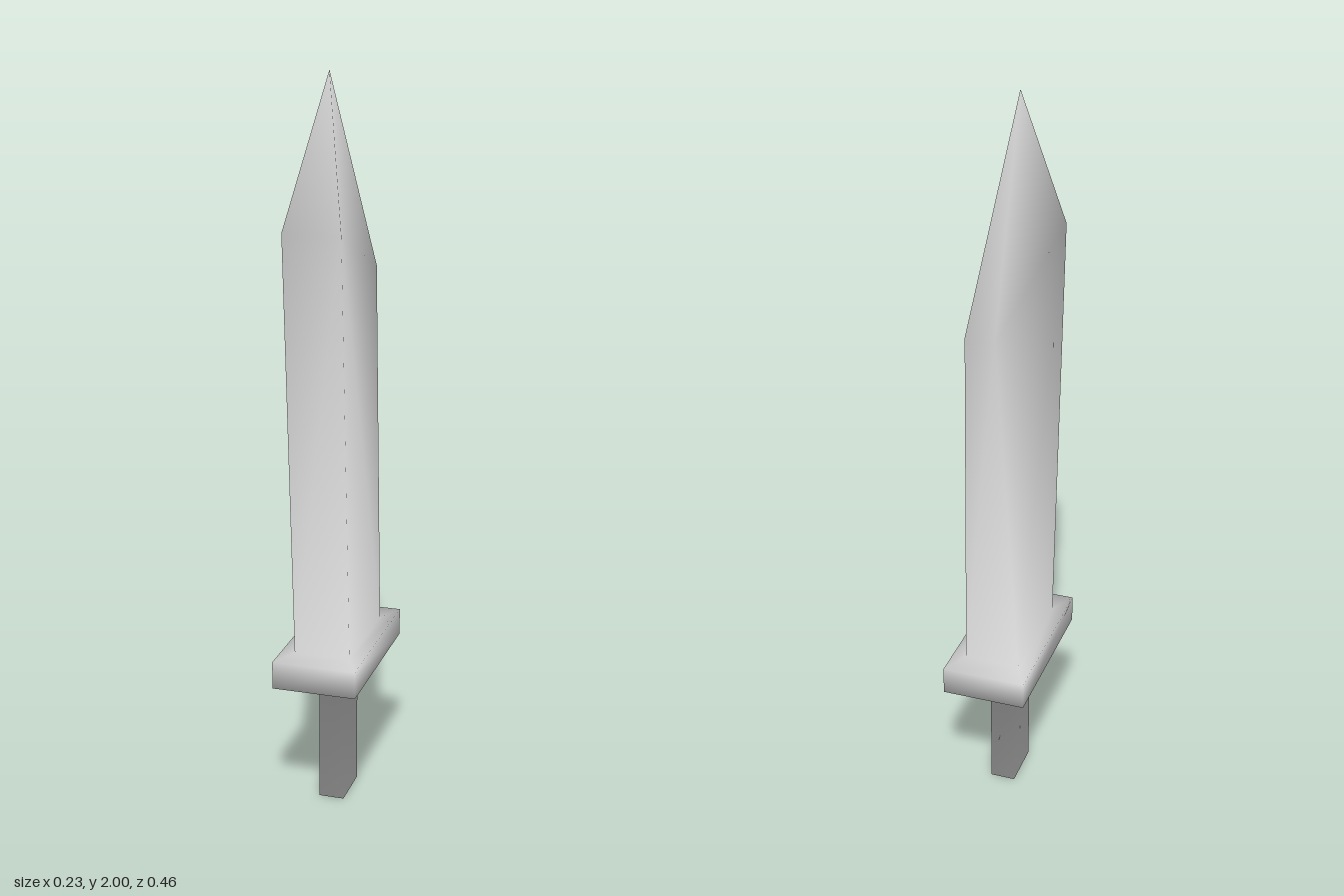
import * as THREE from 'three';

// Mirrored ring: front edge and back edge, each [half width, y, z]
// Corner order: +x front, +x back, -x back, -x front
function ring([fx, fy, fz], [bx, by, bz]) {
  return [[fx, fy, fz], [bx, by, bz], [-bx, by, bz], [-fx, fy, fz]];
}

const level = (x, y, z) => ring([x, y, z], [x, y, -z]);

// One continuous skin: grip, step out to the crossguard, step in to the blade, point
const RINGS = [
  level(0.035, 0, 0.068),
  level(0.035, 0.39, 0.068),
  level(0.115, 0.39, 0.23),
  level(0.115, 0.466, 0.23),
  level(0.077, 0.466, 0.153),
  ring([0.077, 1.615, 0.23], [0.039, 1.463, -0.23]),
];
const TIP = [0, 2, 0.077];
const POINTS = [...RINGS.flat(), TIP].map((p) => new THREE.Vector3(...p));

// Faces between ring r and the next; quads start so that their split is mirrored in x
function band(r) {
  return [0, 1, 2, 3].map((i) => {
    const a = r * 4 + i, b = r * 4 + (i + 1) % 4;
    if (r === RINGS.length - 1) return [a, b, POINTS.length - 1];
    return i === 0 ? [b, b + 4, a + 4, a] : [a, b, b + 4, a + 4];
  });
}

const PARTS = {
  grip: [[3, 2, 1, 0], ...band(0)],
  crossguard: [...band(1), ...band(2), ...band(3)],
  blade: [...band(4), ...band(5)],
};

// Smooth normals shared by the whole skin, weighted by the angle of each corner
function smoothNormals(faces) {
  const normals = POINTS.map(() => new THREE.Vector3());
  for (const face of faces) {
    const p = face.map((k) => POINTS[k]);
    const last = p.length - 1;
    const normal = p[2].clone().sub(p[0])
      .cross(p[last].clone().sub(p[1])).normalize();
    face.forEach((k, i) => {
      const next = p[(i + 1) % p.length].clone().sub(p[i]);
      const previous = p[(i + last) % p.length].clone().sub(p[i]);
      normals[k].addScaledVector(normal, next.angleTo(previous));
    });
  }
  return normals.map((n) => n.normalize());
}

function skin(faces, normals) {
  const corners = faces.flatMap((f) => (f.length === 4
    ? [f[0], f[1], f[2], f[0], f[2], f[3]] : f));
  const geometry = new THREE.BufferGeometry();
  geometry.setAttribute('position', new THREE.Float32BufferAttribute(
    corners.flatMap((k) => POINTS[k].toArray()), 3));
  geometry.setAttribute('normal', new THREE.Float32BufferAttribute(
    corners.flatMap((k) => normals[k].toArray()), 3));
  return geometry;
}

export function createModel() {
  const model = new THREE.Group();
  model.name = 'sword';
  const steel = new THREE.MeshStandardMaterial({ color: 0xcccccc });
  steel.name = 'pale grey';

  const normals = smoothNormals(Object.values(PARTS).flat());
  for (const [name, faces] of Object.entries(PARTS)) {
    const mesh = new THREE.Mesh(skin(faces, normals), steel);
    mesh.name = name;
    model.add(mesh);
  }
  return model;
}
